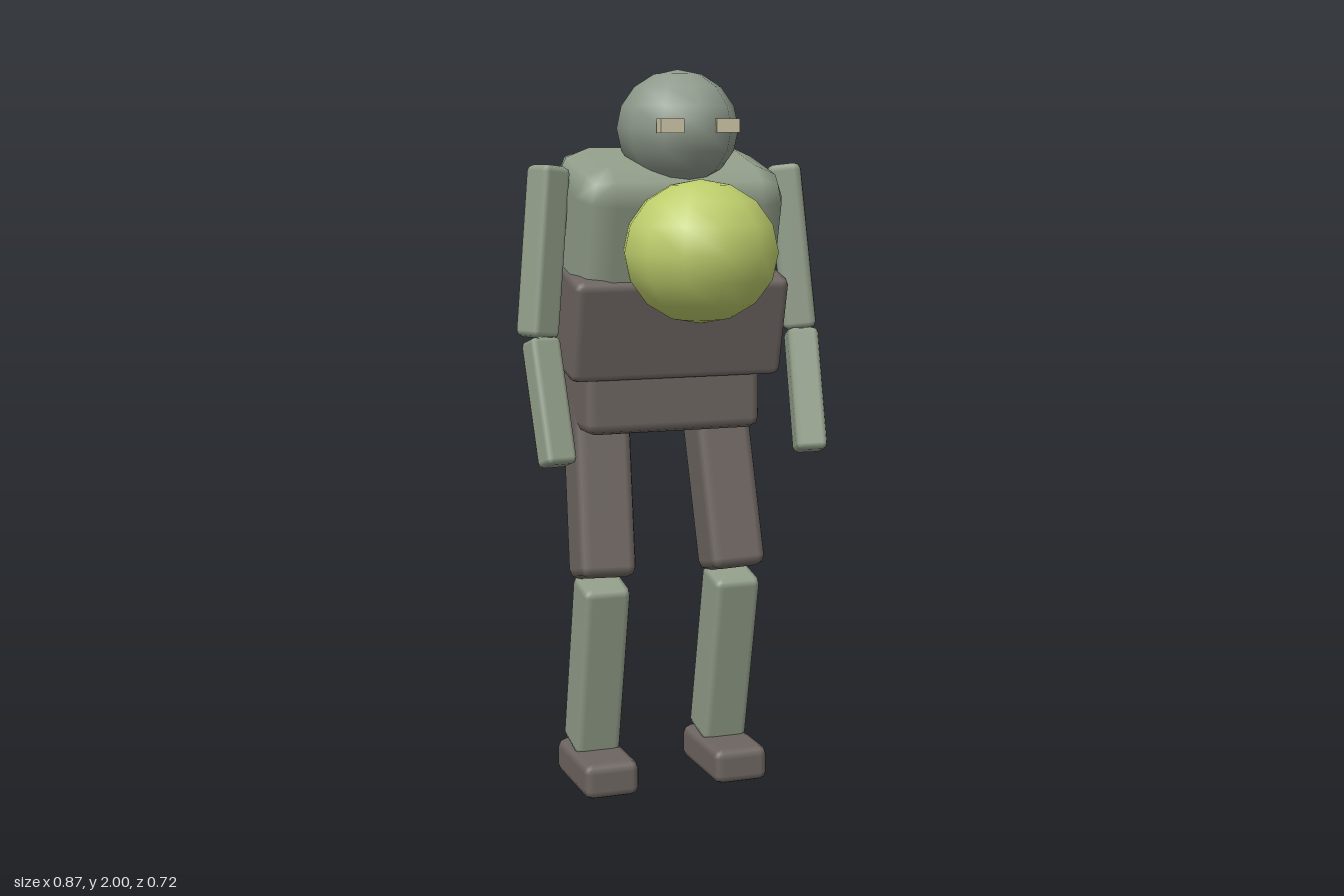
import * as THREE from 'three';
import { RoundedBoxGeometry } from 'three/addons/geometries/RoundedBoxGeometry.js';

const material = (name, color) => {
  const m = new THREE.MeshStandardMaterial({ color });
  m.name = name;
  return m;
};

export function createModel() {
  const model = new THREE.Group();
  const sage = material('sage green', 0x919d89);
  const headGrey = material('grey green', 0x8f9a8c);
  const brown = material('taupe brown', 0x6d6561);
  const lime = material('lime', 0xbdcd6b);
  const cream = material('cream', 0xcdc5a6);

  const add = (parent, name, geometry, mat, x, y, z) => {
    const mesh = new THREE.Mesh(geometry, mat);
    mesh.name = name;
    mesh.position.set(x, y, z);
    parent.add(mesh);
    return mesh;
  };
  // box with a small two-step rounding on every edge
  const block = (w, h, d, r) => new RoundedBoxGeometry(w, h, d, 1, r);

  // limb segment stretched between two points, twisted about its own length
  const limb = (name, a, b, w, d, r, mat, side, twist = 0) => {
    const top = new THREE.Vector3(a[0] * side, a[1], a[2]);
    const end = new THREE.Vector3(b[0] * side, b[1], b[2]);
    const axis = top.clone().sub(end);
    const mid = top.clone().add(end).multiplyScalar(0.5);
    const mesh = add(model, name, block(w, axis.length(), d, r), mat, mid.x, mid.y, mid.z);
    const up = new THREE.Vector3(0, 1, 0);
    mesh.quaternion.setFromUnitVectors(up, axis.normalize());
    mesh.quaternion.multiply(new THREE.Quaternion().setFromAxisAngle(up, twist * side));
  };

  // torso leaning forward, wrapped by a belly band
  const upperBody = new THREE.Group();
  upperBody.name = 'upperBody';
  upperBody.position.y = 1.5;
  upperBody.rotation.x = 0.25;
  model.add(upperBody);
  add(upperBody, 'torso', block(0.59, 0.6, 0.367, 0.09), sage, 0, -0.05, -0.1165);
  add(upperBody, 'bellyBand', block(0.61, 0.285, 0.37, 0.025), brown, 0, -0.182, -0.101);

  add(model, 'pelvis', block(0.51, 0.22, 0.325, 0.03), brown, 0, 1.13, -0.18);

  // head, with a vertex facing forward
  const head = add(model, 'head', new THREE.SphereGeometry(1, 10, 8), headGrey, 0, 1.845, -0.004);
  head.geometry.rotateY(Math.PI / 2);
  head.scale.set(0.16, 0.155, 0.191);

  // glowing orb held at the chest
  const orb = add(model, 'chestOrb', new THREE.SphereGeometry(1, 12, 8), lime, 0, 1.527, 0.175);
  orb.scale.set(0.21, 0.188, 0.187);

  for (const side of [1, -1]) {
    const label = side > 0 ? 'left' : 'right';
    add(model, label + 'Eye', new THREE.BoxGeometry(0.064, 0.036, 0.036), cream, 0.077 * side, 1.852, 0.157);

    // arms
    limb(label + 'UpperArm', [0.338, 1.748, -0.075], [0.382, 1.292, -0.05],
      0.093, 0.087, 0.018, sage, side, -0.43);
    limb(label + 'Forearm', [0.378, 1.29, -0.035], [0.364, 0.963, 0.073],
      0.088, 0.08, 0.016, sage, side, -0.2);

    // legs
    limb(label + 'Thigh', [0.175, 1.1, -0.195], [0.193, 0.612, -0.08],
      0.162, 0.155, 0.028, brown, side);
    limb(label + 'Shin', [0.193, 0.602, -0.086], [0.193, 0.098, -0.197],
      0.135, 0.138, 0.022, sage, side);
    add(model, label + 'Foot', block(0.16, 0.1, 0.3, 0.025), brown, 0.193 * side, 0.05, -0.14);
  }

  return model;
}
